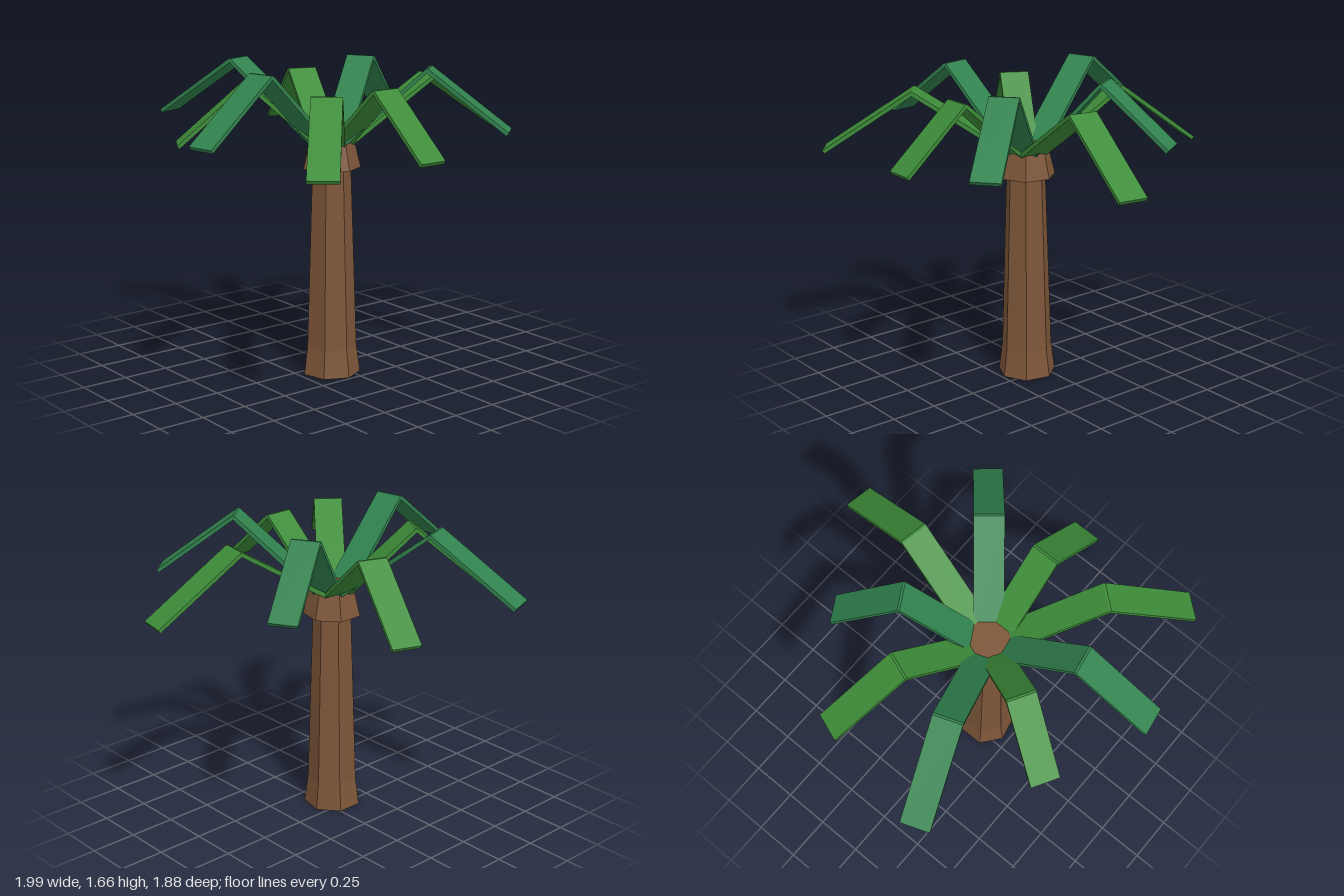
import * as THREE from 'three';

const flat = (name, color) => {
  const m = new THREE.MeshStandardMaterial({ color, flatShading: true });
  m.name = name;
  return m;
};

// Bent leaf strip: side profile (distance from trunk, height) extruded to its width
function leafGeometry(bend, tip, peakY, tipY) {
  const width = 0.155, drop = 0.021, inset = 0.011;
  const shape = new THREE.Shape([
    [0.06, 1.25], [0.075, 1.23], [bend, peakY - drop], [tip - inset, tipY - drop + 0.004],
    [tip, tipY], [bend + 0.006, peakY], [bend - 0.006, peakY],
  ].map(([x, y]) => new THREE.Vector2(x, y)));
  const g = new THREE.ExtrudeGeometry(shape, { depth: width, bevelEnabled: false });
  return g.translate(0, 0, -width / 2);
}

export function createModel() {
  const bark = flat('bark brown', 0x7d5639);
  const green = flat('leaf green', 0x3d8c39);
  const teal = flat('deep leaf green', 0x31824e);

  const model = new THREE.Group();
  model.name = 'palmTree';
  const tree = new THREE.Group();
  tree.name = 'tree';
  tree.position.set(-0.0675, 0, 0.082);
  model.add(tree);

  // Seven-sided trunk with a flared foot
  const trunk = new THREE.Mesh(new THREE.LatheGeometry([
    [0, 0], [0.157, 0], [0.137, 0.15], [0.105, 1.13], [0, 1.13],
  ].map(([r, y]) => new THREE.Vector2(r, y)), 7), bark);
  trunk.name = 'trunk';
  tree.add(trunk);

  // Flared collar under the leaves
  const collar = new THREE.Mesh(new THREE.CylinderGeometry(0.118, 0.157, 0.16, 7), bark);
  collar.name = 'collar';
  collar.position.y = 1.2;
  tree.add(collar);

  // Nine leaves, 40 degrees apart, in three lengths; deep green ones sit higher
  const lengths = [[0.585, 1.06], [0.51, 0.93], [0.435, 0.8]];
  const deep = [1, 4, 6, 8];
  for (let i = 0; i < 9; i++) {
    const [bend, tip] = lengths[i % 3];
    const high = deep.includes(i);
    const leaf = new THREE.Mesh(
      leafGeometry(bend, tip, high ? 1.656 : 1.577, high ? 1.345 : 1.265),
      high ? teal : green);
    leaf.name = `leaf${i + 1}`;
    leaf.rotation.y = -THREE.MathUtils.degToRad(10 + 40 * i);
    tree.add(leaf);
  }
  return model;
}
